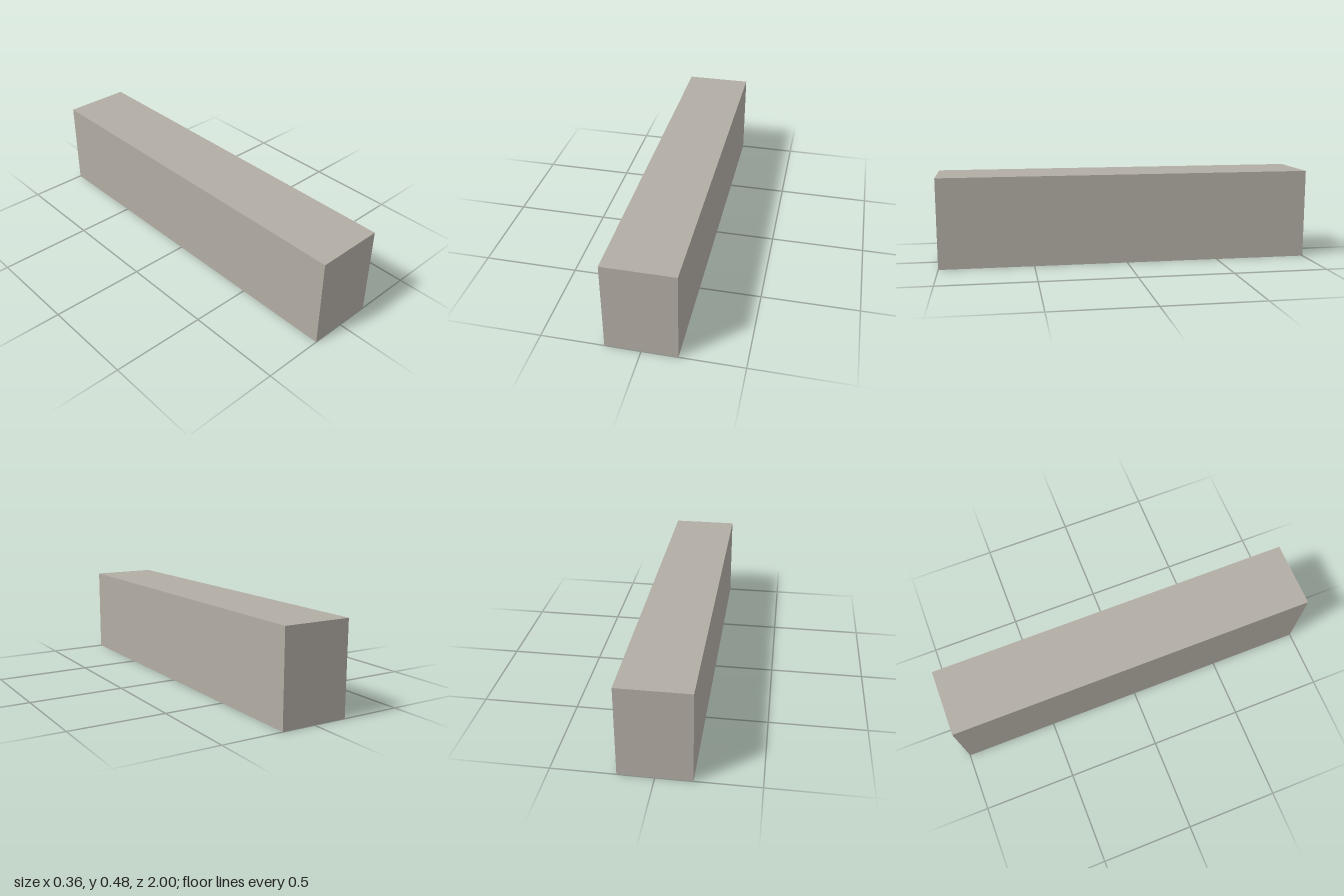
import * as THREE from 'three';

export function createModel() {
  const root = new THREE.Group();
  const concrete = new THREE.MeshStandardMaterial({ color: 0xb2ada4 });
  concrete.name = 'warm grey';

  const W = 0.36, H = 0.48, L = 2, T = 0.014;
  const innerW = W - 2 * T, innerH = H - T;

  // Box given by its extents on each axis
  function block(name, x0, x1, y0, y1, z0, z1) {
    const mesh = new THREE.Mesh(new THREE.BoxGeometry(x1 - x0, y1 - y0, z1 - z0), concrete);
    mesh.position.set((x0 + x1) / 2, (y0 + y1) / 2, (z0 + z1) / 2);
    mesh.name = name;
    root.add(mesh);
  }

  // Hollow shell, open underneath: a ring of walls and a roof
  const outline = new THREE.Shape([[-1, -1], [1, -1], [1, 1], [-1, 1]]
    .map(([x, z]) => new THREE.Vector2(x * W / 2, z * L / 2)));
  outline.holes.push(new THREE.Path([[-1, -1], [-1, 1], [1, 1], [1, -1]]
    .map(([x, z]) => new THREE.Vector2(x * innerW / 2, z * (L / 2 - T)))));
  const wallGeometry = new THREE.ExtrudeGeometry(outline, { depth: innerH, bevelEnabled: false });
  wallGeometry.rotateX(-Math.PI / 2);
  const walls = new THREE.Mesh(wallGeometry, concrete);
  walls.name = 'outerWalls';
  root.add(walls);
  block('roof', -W / 2, W / 2, innerH, H, -L / 2, L / 2);

  // Full-width partitions
  const ix = innerW / 2;
  for (const z of [0.7, 0.18, -0.06]) {
    block('partition', -ix, ix, 0.002, innerH, z, z + T);
  }

  // Short wall returns beside the middle room
  block('wallReturn', 0.085, ix, 0.002, innerH, 0.26, 0.274);
  block('wallReturn', 0.11, ix, 0.002, innerH, 0.194, 0.206);

  // Row of four floor panels, with an end wall standing on the last one
  const panels = 4, start = -0.14, pitch = 0.165;
  for (let i = 0; i < panels; i++) {
    const z = start - i * pitch;
    block('floorPanel', -ix, ix, 0.015, 0.03, z - pitch + 0.002, z);
  }
  block('endPartition', -ix, ix, 0.03, innerH, -0.784, -0.77);

  // Narrow floor strip at the back end
  block('backFloorStrip', -ix, ix, 0.005, 0.02, -0.98, -0.9);

  return root;
}
